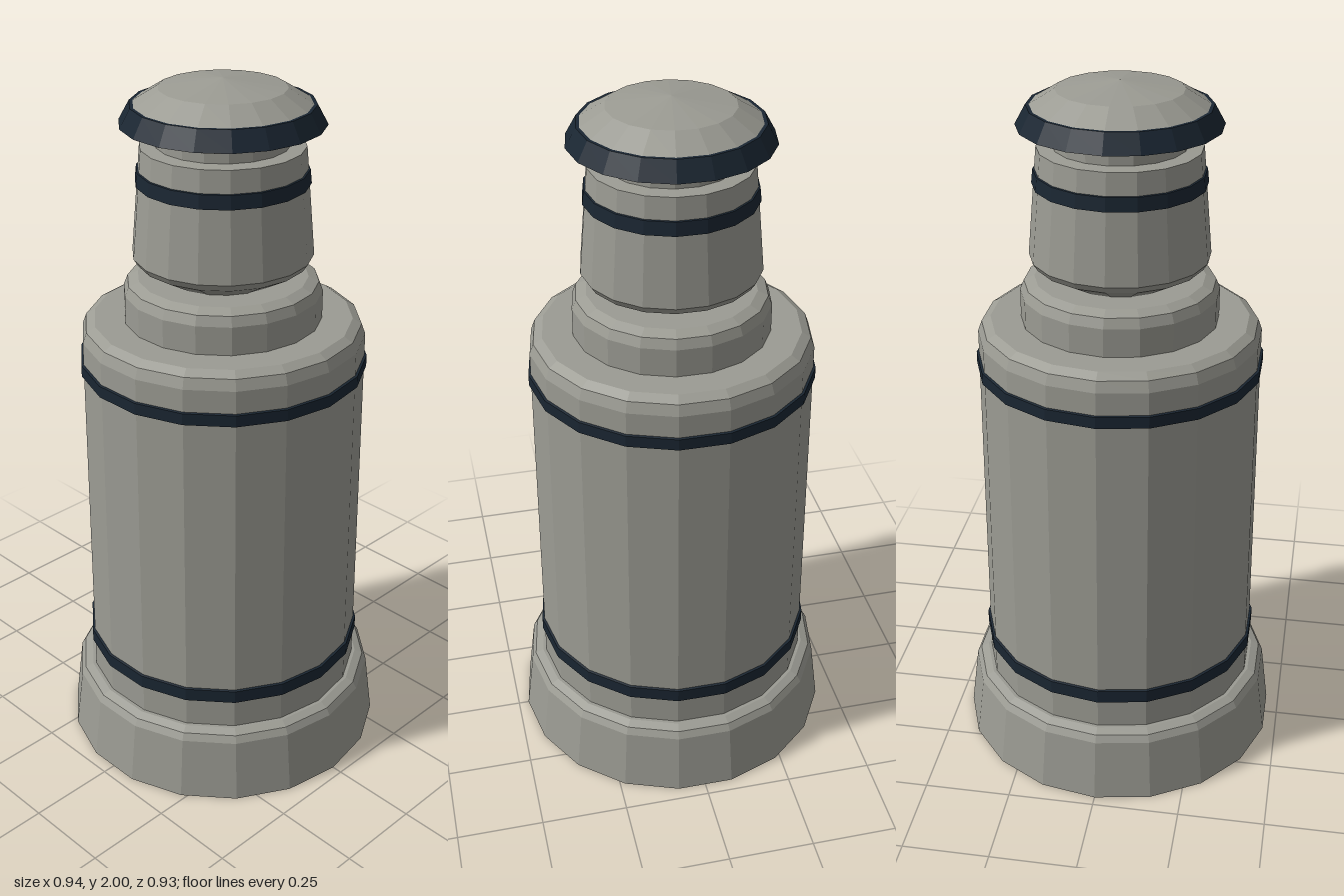
import * as THREE from 'three';

const SIDES = 18;

const stone = new THREE.MeshStandardMaterial({ color: 0x9b9b93, side: THREE.DoubleSide });
stone.name = 'warm grey';
const navy = new THREE.MeshStandardMaterial({ color: 0x1a2632, side: THREE.DoubleSide });
navy.name = 'dark navy';

// Faceted turned part from a [radius, height] profile, listed bottom to top
function turned(name, profile, material) {
  const points = profile.map(([r, y]) => new THREE.Vector2(r, y));
  const geometry = new THREE.LatheGeometry(points, SIDES, Math.PI / 2).toNonIndexed();
  geometry.computeVertexNormals();
  const mesh = new THREE.Mesh(geometry, material);
  mesh.name = name;
  return mesh;
}

// Thin bevelled ring following a wall from (r0, y0) to (r1, y1)
function band(name, r0, y0, r1, y1) {
  const t = 0.006;
  return turned(name, [
    [r0 - t, y0], [r0 + t, y0 + 0.003], [r1 + t, y1 - 0.003], [r1 - t, y1],
  ], navy);
}

export function createModel() {
  const group = new THREE.Group();
  group.name = 'turnedTower';

  group.add(
    // Flared foot, open underneath
    turned('base', [[0.47, 0], [0.447, 0.185], [0.435, 0.205], [0.412, 0.215], [0.402, 0.215]], stone),
    // Main drum with rounded shoulder
    turned('body', [[0.402, 0.215], [0.396, 1.295], [0.385, 1.325], [0.36, 1.34], [0.275, 1.34]], stone),
    // Stepped collar
    turned('collar', [[0.275, 1.34], [0.275, 1.42], [0.264, 1.447], [0.235, 1.46], [0.155, 1.46]], stone),
    // Tapered head and narrow neck below the cap
    turned('head', [
      [0.155, 1.46], [0.235, 1.505], [0.248, 1.525], [0.222, 1.825], [0.18, 1.828], [0.18, 1.858],
    ], stone),
    // Mushroom cap
    turned('cap', [
      [0.18, 1.858], [0.2, 1.86], [0.272, 1.885], [0.243, 1.932], [0.17, 1.977], [0, 2]], stone),
    // Painted rings
    band('lowerBodyBand', 0.402, 0.3, 0.402, 0.345),
    band('upperBodyBand', 0.397, 1.193, 0.397, 1.232),
    band('headBand', 0.23, 1.722, 0.226, 1.766),
    turned('capBand', [[0.268, 1.883], [0.275, 1.884], [0.246, 1.936], [0.236, 1.936]], navy),
  );
  return group;
}
